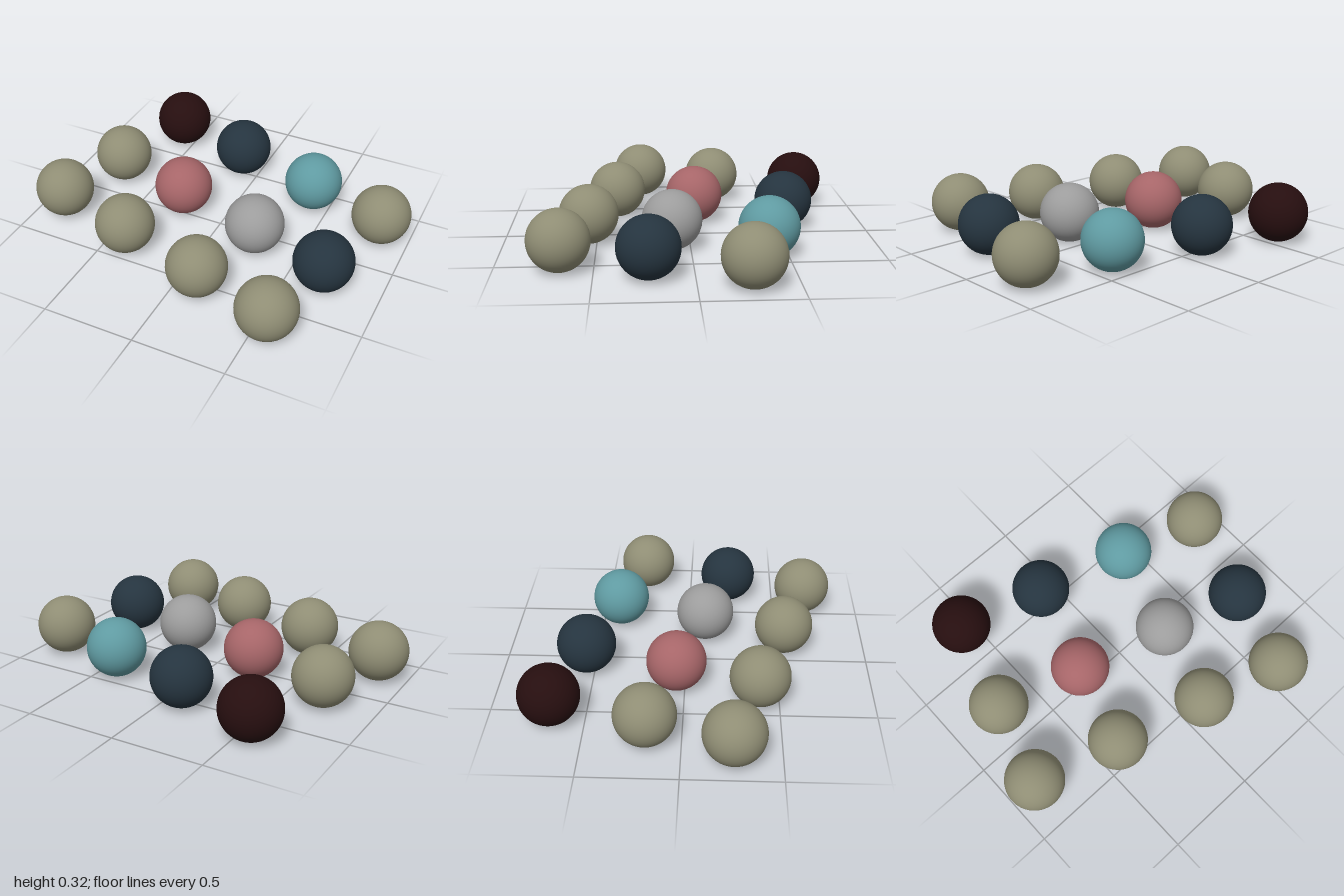
import * as THREE from 'three';

const material = (name, color) => {
  const m = new THREE.MeshStandardMaterial({ color });
  m.name = name;
  return m;
};

export function createModel() {
  const model = new THREE.Group();
  model.name = 'ballGrid';

  const khaki = material('khaki', 0x8f8d74);
  const maroon = material('darkMaroon', 0x260e0f);
  const navy = material('darkNavy', 0x25343f);
  const teal = material('teal', 0x5f9aa1);
  const rose = material('rose', 0xa66568);
  const grey = material('grey', 0x9c9c9c);

  const radius = 0.16;
  const ball = new THREE.SphereGeometry(radius, 48, 32);

  // Three slanted rows, each starting at its left end
  const rows = [
    { x: -0.57, z: -0.676, colours: [maroon, navy, teal, khaki] },
    { x: -0.716, z: -0.181, colours: [khaki, rose, grey, navy] },
    { x: -0.842, z: 0.26, colours: [khaki, khaki, khaki, khaki] },
  ];
  // Column steps along a row
  const steps = [[0, 0], [0.466, 0.136], [0.966, 0.28], [1.407, 0.409]];

  rows.forEach((row, r) => {
    row.colours.forEach((colour, c) => {
      const mesh = new THREE.Mesh(ball, colour);
      mesh.name = `ballRow${r + 1}Column${c + 1}`;
      mesh.position.set(row.x + steps[c][0], radius, row.z + steps[c][1]);
      model.add(mesh);
    });
  });

  return model;
}
